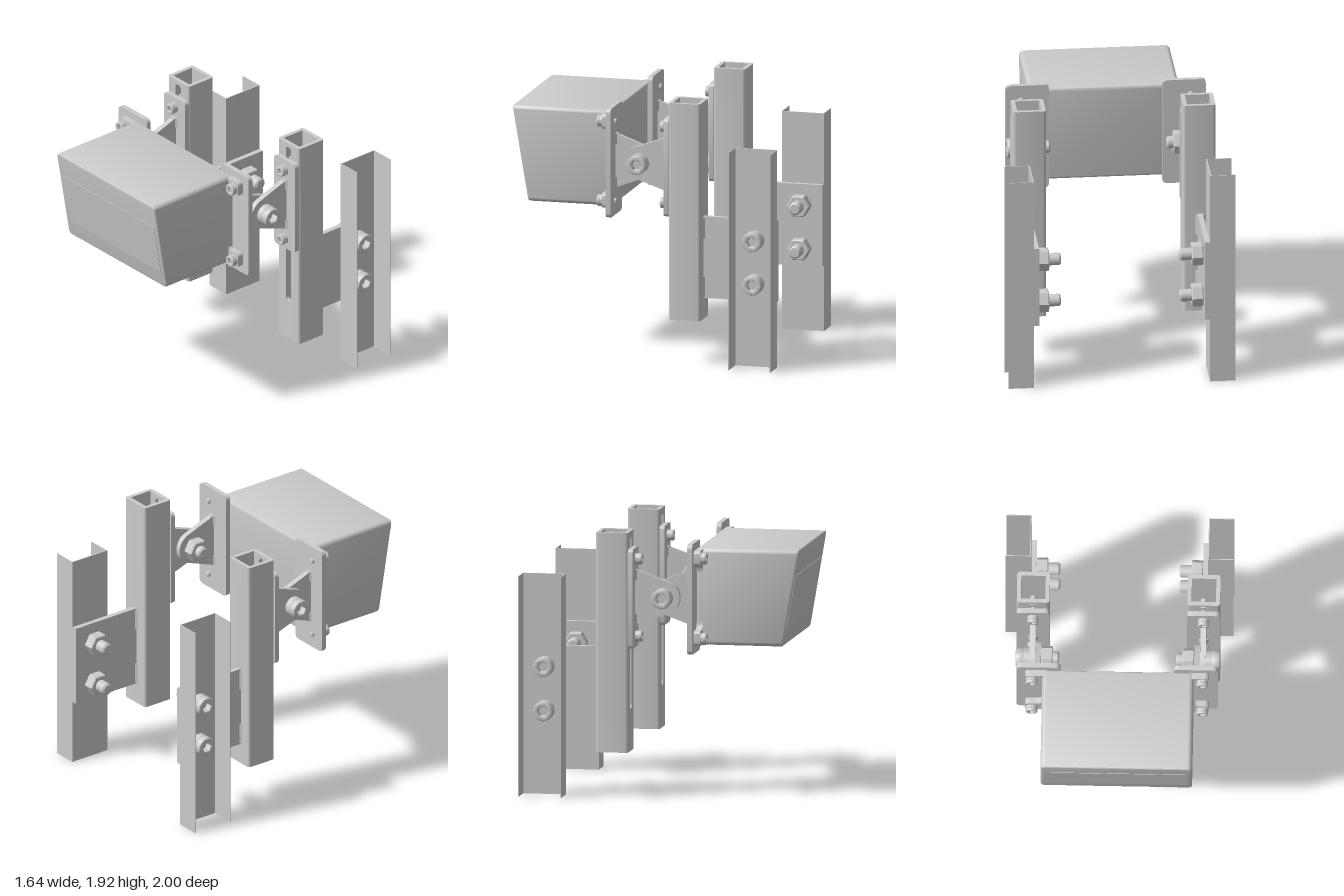
import * as THREE from 'three';
import { toCreasedNormals } from 'three/addons/utils/BufferGeometryUtils.js';

const material = new THREE.MeshStandardMaterial({ color: 0xcccccc });
const PIN_Y = 1.444, PIN_Z = 0.027, SIDE_X = 0.613;

function add(parent, name, geometry, x = 0, y = 0, z = 0) {
  const mesh = new THREE.Mesh(toCreasedNormals(geometry, 0.6), material);
  mesh.name = name;
  mesh.position.set(x, y, z);
  parent.add(mesh);
  return mesh;
}

const box = (w, h, d) => new THREE.BoxGeometry(w, h, d);
const extrude = (shape, depth, options = {}) =>
  new THREE.ExtrudeGeometry(shape, { depth, bevelEnabled: false, curveSegments: 10, ...options });
// Cylinder along z, from z0 up to z1
const rod = (r, z0, z1, sides = 32, rEnd = r) =>
  new THREE.CylinderGeometry(rEnd, r, z1 - z0, sides).rotateX(Math.PI / 2).translate(0, 0, (z0 + z1) / 2);

function roundedRect(w, h, r) {
  const x = w / 2, y = h / 2, s = new THREE.Shape();
  s.absarc(x - r, y - r, r, 0, Math.PI / 2);
  s.absarc(-x + r, y - r, r, Math.PI / 2, Math.PI);
  s.absarc(-x + r, -y + r, r, Math.PI, Math.PI * 1.5);
  s.absarc(x - r, -y + r, r, Math.PI * 1.5, Math.PI * 2);
  s.closePath();
  return s;
}

function hexagon(r, Type = THREE.Shape) {
  const points = [];
  for (let i = 0; i < 6; i++) points.push(new THREE.Vector2(r * Math.cos(i * Math.PI / 3), r * Math.sin(i * Math.PI / 3)));
  return new Type(points);
}

// Socket-head screw: seat at z = 0, head towards +z, shank towards -z
function screw(parent, name, headR, headH, shankR, length) {
  const g = new THREE.Group();
  g.name = name;
  const bevel = headR * 0.12;
  const ring = new THREE.Shape().absarc(0, 0, headR - bevel, 0, Math.PI * 2);
  ring.holes.push(hexagon(headR * 0.55 + bevel, THREE.Path));
  add(g, 'screwHead', extrude(ring, headH * 0.6 - bevel * 2,
    { bevelEnabled: true, bevelSize: bevel, bevelThickness: bevel, bevelSegments: 2 }), 0, 0, headH * 0.4 + bevel);
  add(g, 'screwHeadBase', rod(headR, 0, headH * 0.45));
  const tip = shankR * 0.25;
  add(g, 'screwShank', rod(shankR, -length + tip, 0.01, 24));
  add(g, 'screwTip', rod(shankR - tip, -length, -length + tip, 24, shankR));
  parent.add(g);
  return g;
}

function nut(parent, r, z0, z1) {
  const b = r * 0.08;
  add(parent, 'nut', extrude(hexagon(r - b), z1 - z0 - 2 * b,
    { bevelEnabled: true, bevelSize: b, bevelThickness: b, bevelSegments: 1 }), 0, 0, z0 + b);
}

// Big bolt with nut, its head pointing outwards along x
function sideBolt(parent, name, s, x, y, z, grip, length) {
  const bolt = screw(parent, name, 0.071, 0.1, 0.045, length);
  nut(bolt, 0.084, -grip - 0.083, -grip);
  bolt.position.set(s * x, y, z);
  bolt.rotation.y = s * Math.PI / 2;
}

// Tapered hinge ear: rounded about the pin, wide at its root
function hingeLug(reach) {
  const s = new THREE.Shape(), r = 0.12, half = 0.2;
  const a = Math.atan2(half, reach) + Math.acos(r / Math.hypot(half, reach));
  s.moveTo(reach, -half);
  s.lineTo(reach, half);
  s.absarc(0, 0, r, a, Math.PI * 2 - a);
  s.closePath();
  return extrude(s, 0.04, { curveSegments: 32 }).translate(0, 0, -0.02);
}

// Pair of weld beads where a plate meets its base
function welds(parent, x, y, z, spread, height) {
  for (const d of [-spread, spread])
    add(parent, 'weldBead', new THREE.CylinderGeometry(0.036, 0.036, height, 4).scale(1, 1, 0.7), x, y + d, z);
}

// Square post with a vertical slot in its front wall
function post(parent, x) {
  const g = new THREE.Group();
  g.name = 'slottedPost';
  const h = 0.1175, r = 0.022, i = 0.088, c = 0.03, y0 = 0.325, y1 = 1.92;
  const s = new THREE.Shape();
  s.moveTo(c, -h);
  s.lineTo(h - r, -h);
  s.quadraticCurveTo(h, -h, h, -h + r);
  s.lineTo(h, h - r);
  s.quadraticCurveTo(h, h, h - r, h);
  s.lineTo(-h + r, h);
  s.quadraticCurveTo(-h, h, -h, h - r);
  s.lineTo(-h, -h + r);
  s.quadraticCurveTo(-h, -h, -h + r, -h);
  for (const [px, py] of [[-c, -h], [-c, -i], [-i, -i], [-i, i], [i, i], [i, -i], [c, -i]]) s.lineTo(px, py);
  s.closePath();
  add(g, 'postWalls', extrude(s, y1 - y0).rotateX(-Math.PI / 2), 0, y0, 0);
  // Wall strips that close the slot below and above
  const low = new THREE.Shape().moveTo(-c, y0).lineTo(c, y0).lineTo(c, 0.66);
  low.absarc(0, 0.66, c, 0, Math.PI, true);
  const high = new THREE.Shape().moveTo(c, y1).lineTo(-c, y1).lineTo(-c, 1.86);
  high.absarc(0, 1.86, c, Math.PI, 0, true);
  for (const strip of [low, high]) add(g, 'slotEnd', extrude(strip, h - i), 0, 0, i);
  g.position.set(x, 0, -0.332);
  parent.add(g);
}

function sideAssembly(s) {
  const g = new THREE.Group();
  g.name = s > 0 ? 'leftMount' : 'rightMount';
  const x = s * SIDE_X;

  // Thin rear channel, open outwards
  add(g, 'channelWeb', box(0.008, 1.6, 0.315), s * 0.64, 0.8, -0.842);
  for (const z of [-0.997, -0.687]) add(g, 'channelFlange', box(0.184, 1.6, 0.006), s * 0.728, 0.8, z);

  // Plate joining channel and post
  add(g, 'connectorPlate', box(0.038, 0.6, 0.55), s * 0.617, 0.78, -0.723);
  welds(g, s * 0.617, 0.78, -0.45, 0.215, 0.15);
  for (const y of [0.61, 0.93]) sideBolt(g, 'channelBolt', s, 0.644, y, -0.836, 0.046, 0.215);

  post(g, x);

  // Hinge half fixed to the post
  add(g, 'postHingePlate', extrude(roundedRect(0.235, 0.72, 0.03), 0.036), x, 1.44, -0.2145);
  add(g, 'postHingeLug', hingeLug(0.21), x, PIN_Y, PIN_Z).rotation.y = Math.PI / 2;
  welds(g, x, PIN_Y, -0.178, 0.16, 0.075);
  for (const y of [1.16, 1.72]) {
    const bolt = screw(g, 'slotBolt', 0.04, 0.05, 0.022, 0.16);
    add(bolt, 'washer', rod(0.074, -0.1, -0.066));
    nut(bolt, 0.042, -0.125, -0.1);
    bolt.position.set(x, y, -0.178);
  }

  // Hinge half fixed to the housing
  const lugX = s * (SIDE_X - 0.041);
  add(g, 'housingHingePlate', extrude(roundedRect(0.315, 0.8, 0.035), 0.036), s * 0.566, 1.445, 0.218);
  add(g, 'housingHingeLug', hingeLug(0.195), lugX, PIN_Y, PIN_Z).rotation.y = -Math.PI / 2;
  welds(g, lugX, PIN_Y, 0.218, 0.16, 0.075);
  sideBolt(g, 'hingeBolt', s, SIDE_X + 0.02, PIN_Y, PIN_Z, 0.083, 0.213);

  // Housing ears and their screws, top and bottom
  for (const v of [-1, 1]) {
    const e = new THREE.Shape();
    e.moveTo(s * 0.5, v * 0.345);
    e.lineTo(s * 0.63, v * 0.345);
    e.quadraticCurveTo(s * 0.66, v * 0.345, s * 0.66, v * 0.315);
    e.lineTo(s * 0.66, v * 0.265);
    e.quadraticCurveTo(s * 0.66, v * 0.235, s * 0.63, v * 0.235);
    e.lineTo(s * 0.59, v * 0.235);
    e.quadraticCurveTo(s * 0.54, v * 0.235, s * 0.54, v * 0.18);
    e.lineTo(s * 0.5, v * 0.18);
    e.closePath();
    add(g, 'housingEar', extrude(e, 0.046), 0, 1.446, 0.254);
    screw(g, 'earScrew', 0.043, 0.042, 0.02, 0.1).position.set(x, 1.443 + v * 0.292, 0.3);
  }
  return g;
}

export function createModel() {
  const model = new THREE.Group();
  model.name = 'adjustableHousingMount';

  // Housing with a front face that leans back towards the bottom
  const slope = 0.171, top = 1.797, b = 0.014;
  const body = extrude(roundedRect(1.088 - 2 * b, 0.702 - 2 * b, 0.02), 0.746 - 2 * b,
    { bevelEnabled: true, bevelSize: b, bevelThickness: b, bevelSegments: 3 });
  body.translate(0.007, 1.446, 0.254 + b);
  const p = body.attributes.position;
  for (let i = 0; i < p.count; i++)
    if (p.getZ(i) > 0.6) p.setZ(i, p.getZ(i) - (top - p.getY(i)) * slope);
  add(model, 'housing', body);
  add(model, 'frontPanel', box(1.015, 0.395, 0.006), 0.007, 1.415, 1 - (top - 1.415) * slope)
    .rotation.x = Math.atan(slope);

  for (const s of [-1, 1]) model.add(sideAssembly(s));
  return model;
}
